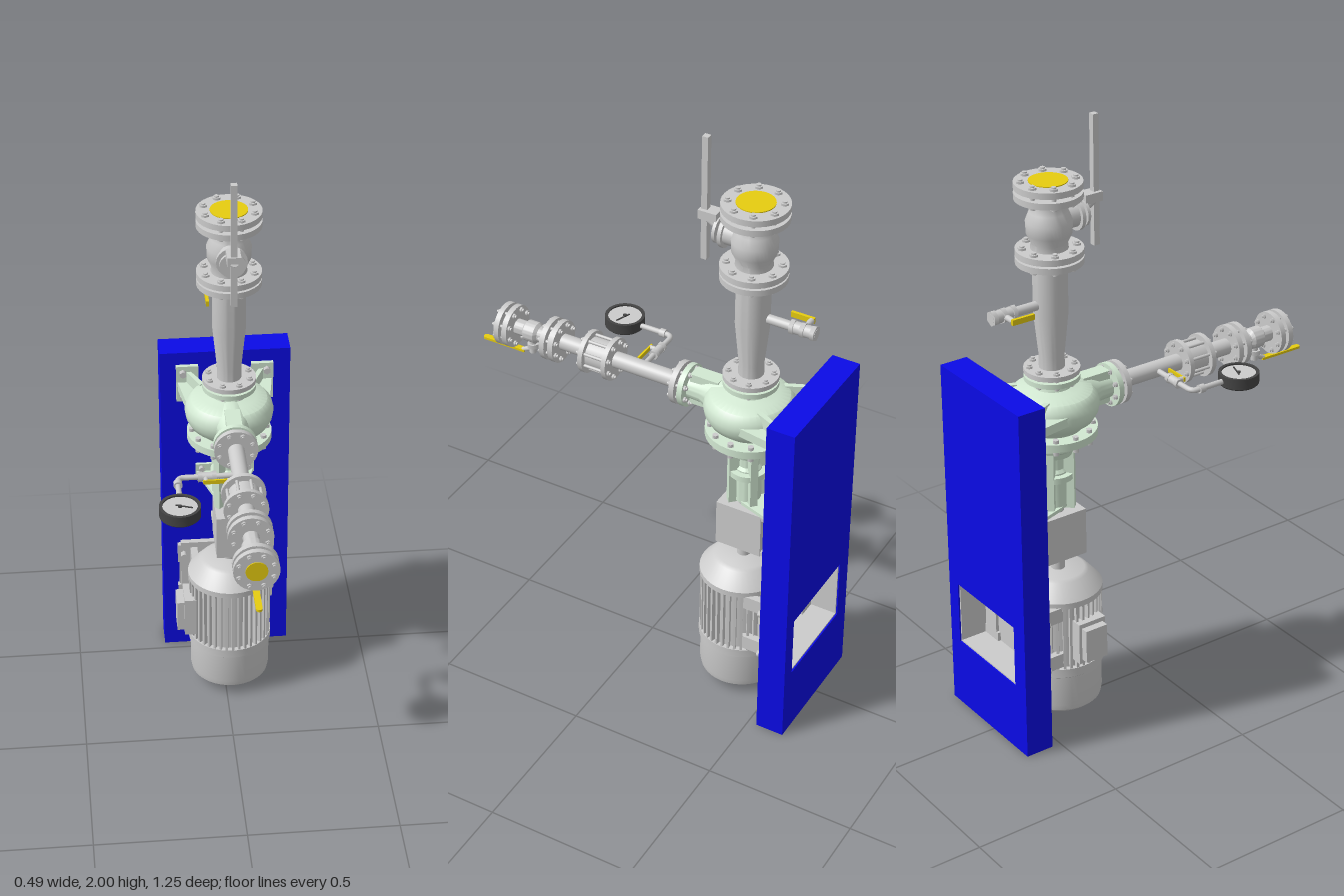
import * as THREE from 'three';
import { toCreasedNormals } from 'three/addons/utils/BufferGeometryUtils.js';

const mat = (color) => new THREE.MeshStandardMaterial({ color, side: THREE.DoubleSide });
const GREY = mat(0xcccccc), BLUE = mat(0x0a0ae6), GREEN = mat(0xd2e8d2),
  YELLOW = mat(0xe6cc10), DARK = mat(0x444444), WHITE = mat(0xe4e4e4);
const AX = 0.02, AZ = -0.36, MZ = -0.352;

function add(parent, name, geo, m, x = 0, y = 0, z = 0) {
  const mesh = new THREE.Mesh(geo, m);
  mesh.name = name;
  mesh.position.set(x, y, z);
  parent.add(mesh);
  return mesh;
}
function group(parent, name, x = 0, y = 0, z = 0) {
  const g = new THREE.Group();
  g.name = name;
  g.position.set(x, y, z);
  parent.add(g);
  return g;
}
// Box given by its two extreme corners
function box(parent, name, m, x0, x1, y0, y1, z0, z1) {
  return add(parent, name, new THREE.BoxGeometry(x1 - x0, y1 - y0, z1 - z0), m,
    (x0 + x1) / 2, (y0 + y1) / 2, (z0 + z1) / 2);
}
// Upright cylinder between two heights
function cyl(parent, name, m, r, y0, y1, x = 0, z = 0, n = 32) {
  return add(parent, name, new THREE.CylinderGeometry(r, r, y1 - y0, n), m, x, (y0 + y1) / 2, z);
}
// Cylinder between any two points
function rod(parent, name, m, r, a, b, n = 20) {
  const p = new THREE.Vector3(...a), q = new THREE.Vector3(...b), d = q.clone().sub(p);
  const mesh = add(parent, name, new THREE.CylinderGeometry(r, r, d.length(), n), m);
  mesh.position.copy(p).add(q).multiplyScalar(0.5);
  mesh.quaternion.setFromUnitVectors(new THREE.Vector3(0, 1, 0), d.normalize());
  return mesh;
}
function lathe(parent, name, m, pts, n = 40) {
  const geo = new THREE.LatheGeometry(pts.map((p) => new THREE.Vector2(...p)), n);
  return add(parent, name, toCreasedNormals(geo, 0.6), m);
}
// Two bolted flanges around y
function flangePair(parent, y0, y1, t, r, n, m0 = GREY) {
  const g = group(parent, 'flangePair');
  cyl(g, 'lowerFlange', m0, r, y0, y0 + t);
  cyl(g, 'upperFlange', GREY, r, y1 - t, y1);
  cyl(g, 'gasket', GREY, r * 0.7, y0 + t, y1 - t);
  for (let i = 0; i < n; i++) {
    const a = ((i + 0.5) / n) * Math.PI * 2, x = Math.cos(a) * r * 0.8, z = Math.sin(a) * r * 0.8;
    cyl(g, 'bolt', GREY, r * 0.075, y0 - 0.012, y1 + 0.012, x, z, 8);
    for (const y of [y0 - 0.007, y1]) cyl(g, 'nut', GREY, r * 0.13, y, y + 0.007, x, z, 6);
  }
}
// Plan outline (x, z) extruded upwards
function slab(parent, name, m, pts, y0, y1) {
  const s = new THREE.Shape(pts.map(([x, z]) => new THREE.Vector2(x, -z)));
  const geo = new THREE.ExtrudeGeometry(s, { depth: y1 - y0, bevelEnabled: false });
  geo.rotateX(-Math.PI / 2);
  return add(parent, name, geo, m, 0, y0, 0);
}

// Mounting plate with a lined pocket behind the motor
function mountingPlate(root) {
  const g = group(root, 'mountingPlate');
  const rect = (P, x0, x1, y0, y1) => {
    const p = new P();
    p.moveTo(x0, y0); p.lineTo(x1, y0); p.lineTo(x1, y1); p.lineTo(x0, y1); p.closePath();
    return p;
  };
  const s = rect(THREE.Shape, -0.195, 0.24, 0, 1.21);
  s.holes.push(rect(THREE.Path, -0.135, 0.19, 0.235, 0.45));
  add(g, 'plate', new THREE.ExtrudeGeometry(s, { depth: 0.095, bevelEnabled: false }), BLUE, 0, 0, -0.625);
  box(g, 'pocketFloor', GREY, -0.135, 0.19, 0.235, 0.45, -0.52, -0.51);
  for (const [a, b] of [[-0.135, -0.13], [0.185, 0.19]]) box(g, 'pocketSide', GREY, a, b, 0.235, 0.45, -0.62, -0.515);
  for (const [a, b] of [[0.235, 0.24], [0.445, 0.45]]) box(g, 'pocketEnd', GREY, -0.13, 0.185, a, b, -0.62, -0.515);
}

function motor(root) {
  const g = group(root, 'motor', AX, 0, MZ);
  lathe(g, 'fanCover', GREY, [[0, 0.025], [0.115, 0.025], [0.132, 0.04], [0.136, 0.06], [0.136, 0.165],
    [0.142, 0.17], [0.142, 0.2], [0, 0.2]]);
  cyl(g, 'body', GREY, 0.125, 0.2, 0.44);
  for (let i = 0; i < 40; i++) {
    const a = (i / 40) * Math.PI * 2;
    const fin = box(g, 'fin', GREY, -0.004, 0.004, 0.2, 0.43, -0.01, 0.01);
    fin.position.set(Math.sin(a) * 0.13, 0.315, Math.cos(a) * 0.13);
    fin.rotation.y = a;
  }
  lathe(g, 'endBell', GREY, [[0, 0.425], [0.142, 0.425], [0.142, 0.445], [0.098, 0.495], [0.085, 0.502], [0, 0.502]]);
  cyl(g, 'shaft', GREY, 0.022, 0.5, 0.75);
  box(g, 'terminalBox', GREY, -0.185, -0.11, 0.24, 0.355, -0.02, 0.06);
  box(g, 'terminalLid', GREY, -0.16, -0.12, 0.225, 0.37, -0.03, 0.07);
  for (const s of [-1, 1]) {
    for (const y of [0.2, 0.37]) {
      const x0 = s < 0 ? -0.165 : 0.09;
      box(g, 'footPad', GREY, x0, x0 + 0.075, y, y + 0.07, -0.178, -0.158);
      box(g, 'footWeb', GREY, s * 0.11 - 0.012, s * 0.11 + 0.012, y + 0.01, y + 0.06, -0.16, -0.06);
      rod(g, 'footBolt', GREY, 0.012, [s * 0.145, y + 0.035, -0.16], [s * 0.145, y + 0.035, -0.135], 6);
    }
    box(g, 'footRail', GREY, s * 0.13 - 0.03, s * 0.13 + 0.03, 0.2, 0.44, -0.178, -0.168);
  }
  // Coupling guard and its arms
  const c = group(root, 'couplingGuard');
  box(c, 'guard', GREY, AX - 0.05, AX + 0.05, 0.55, 0.71, -0.435, -0.275);
  for (const y of [0.553, 0.693]) {
    for (const x of [-0.04, 0.04]) {
      box(c, 'guardArm', GREY, AX + x - 0.008, AX + x + 0.008, y, y + 0.014, -0.53, -0.43);
    }
  }
}

function pump(root) {
  const g = group(root, 'pump', AX, 0, AZ);
  // Bearing frame
  lathe(g, 'bearingHousing', GREEN, [[0.02, 0.735], [0.043, 0.735], [0.043, 0.86], [0.035, 0.87], [0.035, 0.91],
    [0.06, 0.92], [0.066, 0.94], [0.088, 0.955], [0.092, 0.99]]);
  for (let i = 0; i < 4; i++) {
    const leg = group(g, 'frameLeg');
    leg.rotation.y = (i + 0.5) * Math.PI / 2;
    box(leg, 'rib', GREEN, -0.012, 0.012, 0.73, 0.95, 0.03, 0.066);
  }
  cyl(g, 'frameCollar', GREEN, 0.063, 0.835, 0.855);
  slab(g, 'frameSupport', GREEN, [[-0.045, 0], [0.045, 0], [0.1, -0.17], [-0.1, -0.17]], 0.73, 0.742);
  box(g, 'frameSupportPad', GREEN, -0.1, 0.1, 0.73, 0.77, -0.17, -0.16);
  rod(g, 'supportBolt', GREY, 0.01, [0.08, 0.755, -0.165], [0.08, 0.755, -0.145], 6);
  rod(g, 'supportBolt', GREY, 0.01, [-0.08, 0.755, -0.165], [-0.08, 0.755, -0.145], 6);
  // Casing
  cyl(g, 'casingCover', GREEN, 0.14, 0.988, 1.014);
  for (let i = 0; i < 12; i++) {
    const a = (i / 12) * Math.PI * 2;
    cyl(g, 'casingBolt', GREY, 0.01, 0.972, 1.025, Math.cos(a) * 0.124, Math.sin(a) * 0.124, 6);
  }
  lathe(g, 'volute', GREEN, [[0.09, 1.01], [0.105, 1.03], [0.128, 1.045], [0.142, 1.07], [0.146, 1.095], [0.14, 1.12],
    [0.125, 1.138], [0.09, 1.148], [0.062, 1.155], [0.055, 1.18]]);
  // Mounting arms
  for (const s of [-1, 1]) {
    slab(g, 'mountArm', GREEN, [[s * 0.06, -0.07], [s * 0.135, -0.01], [s * 0.158, -0.16], [s * 0.1, -0.16]], 1.075, 1.105);
    slab(g, 'mountRib', GREEN, [[s * 0.075, -0.08], [s * 0.09, -0.07], [s * 0.13, -0.16], [s * 0.115, -0.16]], 1.045, 1.145);
    box(g, 'mountPad', GREEN, s * 0.125 - 0.037, s * 0.125 + 0.037, 1.03, 1.165, -0.171, -0.155);
    for (const y of [1.053, 1.142]) rod(g, 'mountBolt', GREY, 0.012, [s * 0.14, y, -0.16], [s * 0.14, y, -0.138], 6);
  }
}

// Upright outlet pipe, valve and drain tap
function outlet(root) {
  const g = group(root, 'outletLine', AX, 0, AZ);
  flangePair(g, 1.178, 1.218, 0.016, 0.088, 8, GREEN);
  lathe(g, 'taperedPipe', GREY, [[0.04, 1.21], [0.04, 1.26], [0.054, 1.4], [0.054, 1.57]]);
  flangePair(g, 1.565, 1.612, 0.02, 0.105, 8);
  lathe(g, 'valveBody', GREY, [[0.06, 1.6], [0.056, 1.63], [0.07, 1.66], [0.072, 1.7], [0.06, 1.73], [0.053, 1.75], [0.056, 1.78]]);
  flangePair(g, 1.772, 1.825, 0.02, 0.105, 8);
  cyl(g, 'outletBore', YELLOW, 0.06, 1.815, 1.828);
  rod(g, 'valveBonnet', GREY, 0.038, [0, 1.695, 0.05], [0, 1.695, 0.09]);
  rod(g, 'bonnetFlange', GREY, 0.05, [0, 1.695, 0.09], [0, 1.695, 0.102]);
  rod(g, 'glandPlate', GREY, 0.042, [0, 1.695, 0.115], [0, 1.695, 0.125]);
  rod(g, 'valveStem', GREY, 0.016, [0, 1.695, 0.1], [0, 1.74, 0.178]);
  for (const y of [1.66, 1.73]) rod(g, 'glandBolt', GREY, 0.006, [0, y, 0.09], [0, y, 0.14], 8);
  box(g, 'leverHub', GREY, -0.022, 0.022, 1.725, 1.755, 0.12, 0.182);
  box(g, 'valveLever', GREY, -0.01, 0.01, 1.58, 2, 0.157, 0.177);
  // Drain tap
  const t = group(g, 'drainTap');
  rod(t, 'tapPipe', GREY, 0.015, [0, 1.433, -0.04], [0, 1.433, -0.215]);
  for (const z of [-0.13, -0.165, -0.2]) rod(t, 'tapNut', GREY, 0.025, [0, 1.433, z], [0, 1.433, z - 0.014], 6);
  rod(t, 'tapBody', GREY, 0.02, [0, 1.433, -0.13], [0, 1.433, -0.205]);
  rod(t, 'tapStem', GREY, 0.01, [0, 1.433, -0.17], [-0.055, 1.433, -0.17], 12);
  box(t, 'tapLever', YELLOW, -0.065, -0.055, 1.424, 1.442, -0.178, -0.1);
}

// Inlet line: local y runs forward, local z runs down
function inlet(root) {
  const g = group(root, 'inletLine', AX, 1.093, 0);
  g.rotation.x = Math.PI / 2;
  lathe(g, 'suctionNeck', GREEN, [[0.065, -0.3], [0.055, -0.23], [0.042, -0.2], [0.04, -0.15]]);
  box(g, 'suctionRib', GREEN, -0.025, 0.025, -0.26, -0.16, -0.06, 0.05);
  flangePair(g, -0.155, -0.108, 0.018, 0.071, 8, GREEN);
  cyl(g, 'frontPipe', GREY, 0.027, -0.12, 0.14);
  flangePair(g, 0.122, 0.224, 0.016, 0.071, 8);
  cyl(g, 'checkValve', GREY, 0.052, 0.13, 0.215);
  cyl(g, 'spacerPipe', GREY, 0.027, 0.21, 0.33);
  flangePair(g, 0.318, 0.368, 0.018, 0.071, 8);
  lathe(g, 'ballValve', GREY, [[0.026, 0.36], [0.026, 0.405], [0.035, 0.415], [0.035, 0.452], [0.026, 0.46], [0.026, 0.5]]);
  flangePair(g, 0.492, 0.54, 0.018, 0.071, 8);
  cyl(g, 'inletBore', YELLOW, 0.034, 0.53, 0.543);
  rod(g, 'ballStem', GREY, 0.012, [0, 0.435, 0.02], [0, 0.435, 0.08], 16);
  rod(g, 'stemNut', GREY, 0.02, [0, 0.435, 0.045], [0, 0.435, 0.06], 6);
  rod(g, 'leverNeck', GREY, 0.008, [0, 0.435, 0.065], [0, 0.475, 0.084], 10);
  box(g, 'ballLever', YELLOW, -0.01, 0.01, 0.465, 0.615, 0.08, 0.088);
  cyl(g, 'leverTip', YELLOW, 0.01, 0.08, 0.088, 0, 0, 16).rotation.x = Math.PI / 2;
  g.children.at(-1).position.set(0, 0.615, 0.084);
}

function gauge(root) {
  const g = group(root, 'pressureGauge', 0, 1.095, 0);
  const path = new THREE.CurvePath();
  const v = (x, z) => new THREE.Vector3(x, 0, z);
  path.add(new THREE.LineCurve3(v(0.01, 0.03), v(-0.155, 0.03)));
  path.add(new THREE.QuadraticBezierCurve3(v(-0.155, 0.03), v(-0.18, 0.03), v(-0.18, 0.055)));
  path.add(new THREE.LineCurve3(v(-0.18, 0.055), v(-0.18, 0.15)));
  add(g, 'gaugePipe', new THREE.TubeGeometry(path, 48, 0.009, 12), GREY);
  for (const x of [-0.115, -0.07]) rod(g, 'cockNut', GREY, 0.017, [x, 0, 0.03], [x + 0.014, 0, 0.03], 6);
  rod(g, 'cockBody', GREY, 0.014, [-0.115, 0, 0.03], [-0.058, 0, 0.03]);
  rod(g, 'cockStem', GREY, 0.008, [-0.09, 0, 0.03], [-0.09, 0, 0.062], 12);
  box(g, 'cockLever', YELLOW, -0.1, -0.015, -0.007, 0.007, 0.058, 0.064);
  rod(g, 'elbowCollar', GREY, 0.014, [-0.18, 0, 0.055], [-0.18, 0, 0.075]);
  const d = group(g, 'dial', -0.184, 0, 0.21);
  lathe(d, 'case', DARK, [[0, -0.02], [0.06, -0.02], [0.065, -0.015], [0.065, 0.02], [0.055, 0.02], [0.055, 0.014]]);
  cyl(d, 'face', WHITE, 0.056, 0.008, 0.015);
  const needle = box(d, 'needle', DARK, -0.015, 0.04, 0.015, 0.018, -0.002, 0.002);
  needle.rotation.y = -0.35;
  cyl(d, 'needleHub', DARK, 0.006, 0.014, 0.02);
}

export function createModel() {
  const root = new THREE.Group();
  root.name = 'verticalPumpUnit';
  for (const build of [mountingPlate, motor, pump, outlet, inlet, gauge]) build(root);
  return root;
}
